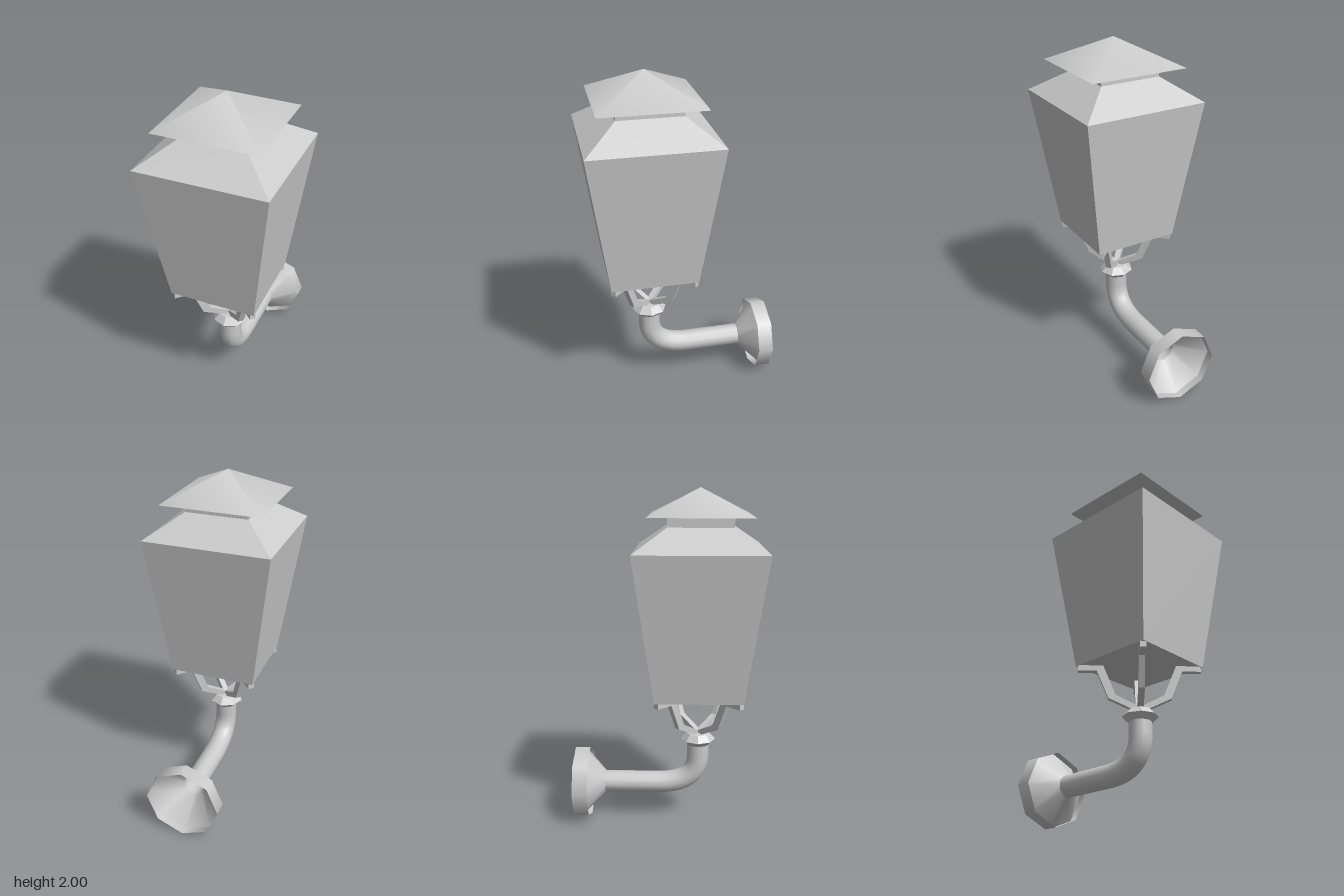
import * as THREE from 'three';

const LAMP_Z = 0.19; // lantern axis
const ARM_Y = 0.223; // wall arm axis

const smooth = new THREE.MeshStandardMaterial({ color: 0xcccccc, side: THREE.DoubleSide });
const flat = new THREE.MeshStandardMaterial({ color: 0xcccccc, side: THREE.DoubleSide, flatShading: true });

function add(parent, name, geometry, material) {
  const mesh = new THREE.Mesh(geometry, material);
  mesh.name = name;
  parent.add(mesh);
  return mesh;
}

// Square frustum given by half widths at its bottom and top
function frustum(half0, half1, y0, y1) {
  return new THREE.CylinderGeometry(half1 * Math.SQRT2, half0 * Math.SQRT2, y1 - y0, 4)
    .rotateY(Math.PI / 4)
    .translate(0, (y0 + y1) / 2, 0);
}

function lathe(points) {
  return new THREE.LatheGeometry(points.map(([r, y]) => new THREE.Vector2(r, y)), 8);
}

export function createModel() {
  const model = new THREE.Group();
  model.name = 'wallLantern';

  // Lantern head: tapered body, sloped shoulder, neck and pyramid cap
  const lantern = new THREE.Group();
  lantern.name = 'lantern';
  lantern.position.z = LAMP_Z;
  model.add(lantern);
  add(lantern, 'lanternBody', frustum(0.254, 0.37, 0.81, 1.66), flat);
  add(lantern, 'shoulder', frustum(0.37, 0.184, 1.66, 1.79), flat);
  add(lantern, 'neck', frustum(0.184, 0.184, 1.79, 1.85), flat);
  add(lantern, 'cap', frustum(0.293, 0, 1.847, 2), smooth);

  // Four bent struts reaching out to the corners of the body
  const outline = [
    [0.04, 0.55], [0.175, 0.615], [0.24, 0.777], [0.345, 0.777],
    [0.345, 0.81], [0.205, 0.81], [0.135, 0.635], [0, 0.565],
  ].map(([d, y]) => new THREE.Vector2(d, y));
  const strutGeometry = new THREE.ExtrudeGeometry(new THREE.Shape(outline), {
    depth: 0.034, bevelEnabled: false,
  }).translate(0, 0, -0.017);
  for (let i = 0; i < 4; i++) {
    add(lantern, 'strut', strutGeometry, flat).rotation.y = Math.PI / 4 + i * Math.PI / 2;
  }

  // Collar under the struts
  add(lantern, 'collar', lathe([
    [0, 0.48], [0.07, 0.48], [0.103, 0.512], [0.068, 0.55], [0, 0.558],
  ]), flat);

  // Bent arm from the collar back to the wall
  const at = (y, z) => new THREE.Vector3(0, y, z);
  const path = new THREE.CurvePath();
  path.add(new THREE.LineCurve3(at(0.5, LAMP_Z), at(0.41, LAMP_Z)));
  path.add(new THREE.QuadraticBezierCurve3(at(0.41, LAMP_Z), at(ARM_Y, LAMP_Z), at(ARM_Y, -0.055)));
  path.add(new THREE.LineCurve3(at(ARM_Y, -0.055), at(ARM_Y, -0.378)));
  add(model, 'arm', new THREE.TubeGeometry(path, 24, 0.066, 12), smooth);

  // Wall mount: open cone inside an octagonal ring
  const mount = new THREE.Group();
  mount.name = 'wallMount';
  mount.position.y = ARM_Y;
  mount.rotation.x = Math.PI / 2;
  model.add(mount);
  add(mount, 'mountCone', lathe([[0.222, -0.515], [0.066, -0.375]]), smooth);
  add(mount, 'mountRing', lathe([[0.222, -0.56], [0.222, -0.47]]), smooth);

  return model;
}
